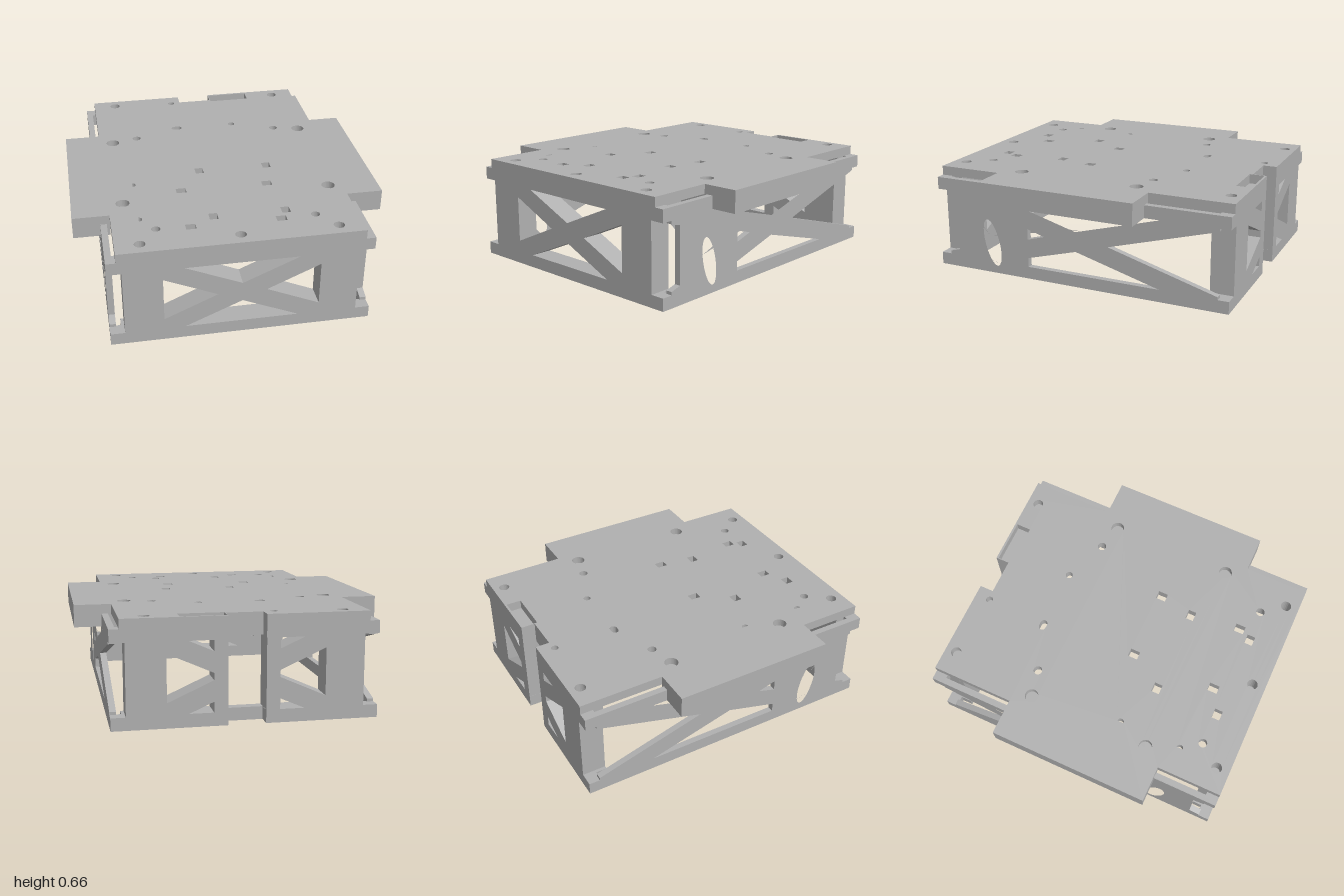
import * as THREE from 'three';

const grey = new THREE.MeshStandardMaterial({ color: 0xb0b0b0 });
grey.name = 'plain grey';

const path = (pts, Type = THREE.Path) => new Type(pts.map(([a, b]) => new THREE.Vector2(a, b)));
const rect = (cx, cy, w, h) => [[cx - w / 2, cy - h / 2], [cx + w / 2, cy - h / 2], [cx + w / 2, cy + h / 2], [cx - w / 2, cy + h / 2]];
// Ellipse or arc as a list of points
const round = (cx, cy, r, n = 20, arc = Math.PI * 2, start = 0) => Array.from({ length: n }, (_, i) => {
  const a = start + arc * i / (arc < 6 ? n - 1 : n);
  return [cx + r * Math.cos(a), cy + r * Math.sin(a)];
});

function extrude(outline, holes, depth) {
  const shape = path(outline, THREE.Shape);
  shape.holes = holes.map(h => path(h));
  return new THREE.ExtrudeGeometry(shape, { depth, bevelEnabled: false });
}

// Horizontal slab drawn in (x, z) between two heights
function slab(outline, holes, y0, y1) {
  const flip = pts => pts.map(([x, z]) => [x, -z]);
  return extrude(flip(outline), holes.map(flip), y1 - y0).rotateX(-Math.PI / 2).translate(0, y0, 0);
}

export function createModel() {
  const model = new THREE.Group();
  model.name = 'mountingFrame';
  const add = (name, geometry) => {
    const mesh = new THREE.Mesh(geometry, grey);
    mesh.name = name;
    model.add(mesh);
    return mesh;
  };

  // Top plate with side wings, rear notch and drilled holes
  const plate = [[-0.75, 1], [0.75, 1], [0.75, 0.58], [0.98, 0.58], [0.98, -0.46], [0.75, -0.46], [0.75, -1],
    [0.115, -1], [0.115, -0.91], [-0.115, -0.91], [-0.115, -1], [-0.75, -1], [-0.75, -0.46], [-0.98, -0.46],
    [-0.98, 0.58], [-0.75, 0.58]];
  const screwsFront = [-0.6, 0, 0.6].map(x => round(x, 0.915, 0.034));
  const screwsBack = [-0.6, 0.6].map(x => round(x, -0.925, 0.034));
  const holes = [...screwsFront, ...screwsBack];
  for (const s of [-1, 1]) {
    for (const z of [-0.385, 0.775]) holes.push(round(s * 0.49, z, 0.028));
    for (const z of [-0.345, 0.455]) {
      holes.push(round(s * 0.66, z, 0.043, 28));
      // Floors closing the blind bores
      add('boreFloor', new THREE.CylinderGeometry(0.046, 0.046, 0.012, 28).translate(s * 0.66, 0.606, z));
    }
  }
  holes.push(round(0.205, -0.495, 0.023), round(-0.18, -0.9, 0.023));
  holes.push([...round(-0.18, -0.495, 0.023, 10, Math.PI, -Math.PI / 2), ...round(-0.205, -0.495, 0.023, 10, Math.PI, Math.PI / 2)]);
  for (const z of [0.245, 0.655]) holes.push(round(-0.58, z, 0.022, 10, Math.PI, -Math.PI / 2));
  for (const x of [-0.128, 0.322]) for (const z of [0.135, 0.695]) holes.push(rect(x, z, 0.053, 0.065));
  for (const x of [-0.28, 0.276]) for (const z of [0.365, 0.785]) holes.push(rect(x, z, 0.063, 0.053));
  holes.push(rect(0.26, -0.938, 0.28, 0.096)); // rear pocket
  add('topPlate', slab(plate, holes, 0.6, 0.66));

  // Deeper undersides of the wings
  for (const s of [-1, 1]) {
    add('wing', new THREE.BoxGeometry(0.23, 0.08, 1.04).translate(s * 0.865, 0.56, 0.06));
  }

  // Front and back rails, lower and upper
  const frontRail = [[-0.81, 1], [0.81, 1], [0.81, 0.92], [0.74, 0.92], [0.74, 0.86], [-0.74, 0.86], [-0.74, 0.92], [-0.81, 0.92]];
  const backRail = [[-0.81, -1], [-0.115, -1], [-0.115, -0.91], [0.115, -0.91], [0.115, -1], [0.81, -1],
    [0.81, -0.92], [0.74, -0.92], [0.74, -0.85], [-0.74, -0.85], [-0.74, -0.92], [-0.81, -0.92]];
  const slot = rect(0.35, -0.905, 0.1, 0.03);
  for (const [y0, y1, name] of [[0, 0.08, 'lowerRail'], [0.52, 0.6, 'upperRail']]) {
    add('front_' + name, slab(frontRail, screwsFront, y0, y1));
    add('back_' + name, slab(backRail, y0 ? [...screwsBack, slot] : screwsBack, y0, y1));
  }

  // Front cross-braced web
  const mirrorX = pts => pts.map(([x, y]) => [-x, y]);
  const mirrorY = pts => pts.map(([x, y]) => [x, 0.6 - y]);
  const vee = [[-0.35, 0.518], [0.35, 0.518], [0, 0.365]];
  const sideVee = [[0.48, 0.447], [0.48, 0.153], [0.15, 0.3]];
  add('frontBrace', extrude(rect(0, 0.3, 1.44, 0.44), [vee, mirrorY(vee), sideVee, mirrorX(sideVee)], 0.14).translate(0, 0, 0.86));

  // Back web in two halves, either side of the gap
  const halfVee = [[0.2, 0.518], [0.35, 0.518], [0.2, 0.452]];
  const halfSide = [[0.48, 0.447], [0.48, 0.153], [0.2, 0.278], [0.2, 0.322]];
  for (const s of [-1, 1]) {
    const turn = pts => (s > 0 ? pts : mirrorX(pts));
    const cuts = [halfVee, mirrorY(halfVee), halfSide].map(turn);
    add('backBrace', extrude(turn(rect(0.418, 0.3, 0.604, 0.44)), cuts, 0.15).translate(0, 0, -1));
  }

  // Side walls drawn in (z, y)
  const wall = [[1, 0], [1, 0.08], [0.93, 0.08], [0.93, 0.1], [0.86, 0.12], [0.86, 0.48], [0.93, 0.5], [0.93, 0.52],
    [1, 0.52], [1, 0.6], [-1, 0.6], [-1, 0.52], [-0.93, 0.52], [-0.93, 0.502], [-0.22, 0.3], [-0.93, 0.098],
    [-0.93, 0.08], [-1, 0.08], [-1, 0]];
  const longVee = [[0.34, 0.52], [-0.56, 0.52], [0, 0.365], [0.34, 0.46]];
  const notch = [[0.34, 0.335], [0.34, 0.265], [0.22, 0.3]];
  const cable = Array.from({ length: 32 }, (_, i) => {
    const a = i * Math.PI / 16;
    return [0.602 + 0.055 * Math.cos(a) + 0.032 * Math.sin(a), 0.205 + 0.155 * Math.sin(a)];
  });
  const flipZ = pts => pts.map(([z, y]) => [-z, y]);
  for (const s of [-1, 1]) {
    const g = extrude(flipZ(wall), [longVee, mirrorY(longVee), notch, cable].map(flipZ), 0.04);
    // The cable hole narrows downward toward the inside
    const p = g.attributes.position;
    for (let i = 0; i < p.count; i++) {
      const inner = (p.getZ(i) < 0.02) === (s > 0);
      const x = p.getX(i), y = p.getY(i);
      if (inner && x < -0.5 && x > -0.7 && y > 0.04 && y < 0.4) p.setY(i, 0.05 + (y - 0.05) * 0.61);
    }
    g.computeVertexNormals();
    add('sideWall', g.rotateY(Math.PI / 2).translate(s > 0 ? 0.77 : -0.81, 0, 0));
  }
  return model;
}
